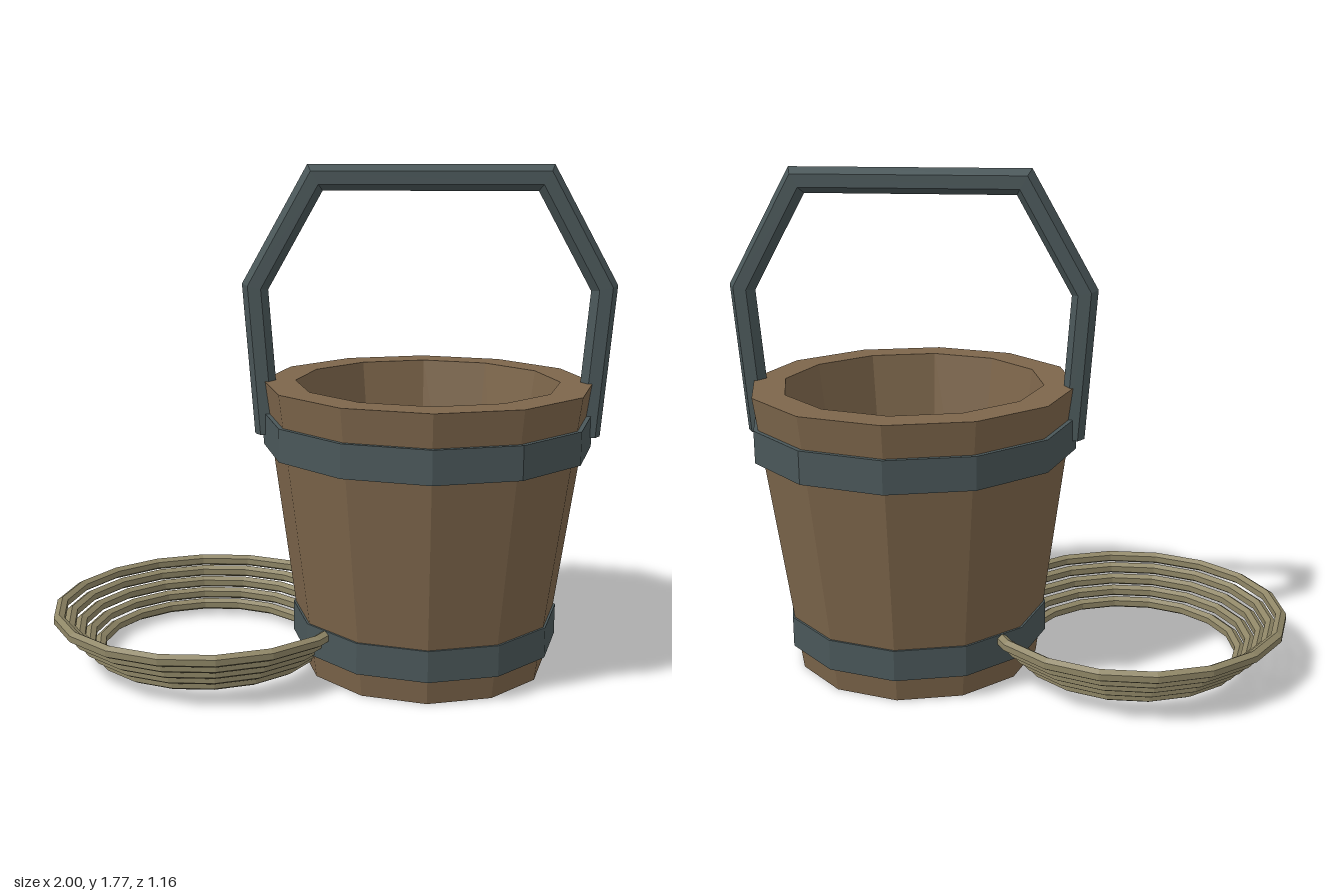
import * as THREE from 'three';

const WOOD = 0x7d664b, IRON = 0x4a5759, ROPE = 0x8f8666;
const BUCKET_X = 0.35, COIL_X = -0.44;

function part(name, geometry, color, x = 0) {
  const material = new THREE.MeshStandardMaterial({ color, flatShading: true });
  const mesh = new THREE.Mesh(geometry, material);
  mesh.name = name;
  mesh.position.x = x;
  return mesh;
}

// Turn a (radius, height) outline, listed counter-clockwise, around the y axis
function turned(outline, sides) {
  const points = outline.map(([r, y]) => new THREE.Vector2(r, y));
  return new THREE.LatheGeometry(points, sides, Math.PI / 2);
}

function hoop(inner, outer, y0, y1) {
  return turned([[inner, y0], [outer, y0], [outer, y1], [inner, y1], [inner, y0]], 12);
}

// Six-sided bar following a flat path with mitred corners
function mitredBar(path, radius) {
  const last = path.length - 1;
  const geometry = new THREE.CylinderGeometry(radius, radius, last, 6, last, false, Math.PI / 6);
  const pos = geometry.attributes.position;
  const direction = (a, b) => b.clone().sub(a).normalize();
  const miters = path.map((p, i) => {
    const before = direction(path[Math.max(i - 1, 0)], path[Math.max(i, 1)]);
    const after = direction(path[Math.min(i, last - 1)], path[Math.min(i + 1, last)]);
    const mid = before.clone().add(after).normalize();
    return new THREE.Vector2(mid.y, -mid.x).divideScalar(mid.dot(after));
  });
  for (let v = 0; v < pos.count; v++) {
    const i = Math.round(pos.getY(v) + last / 2);
    const side = pos.getX(v);
    pos.setXY(v, path[i].x + miters[i].x * side, path[i].y + miters[i].y * side);
  }
  geometry.computeVertexNormals();
  return geometry;
}

export function createModel() {
  const model = new THREE.Group();
  model.name = 'bucketWithRope';

  // Wooden bucket with a thick wall and floor
  const wall = [[0, 0], [0.44, 0], [0.58, 1.02], [0.465, 1.02], [0.33, 0.06], [0, 0.06]];
  model.add(part('bucket', turned(wall, 12), WOOD, BUCKET_X));

  // Iron hoops
  model.add(part('upperHoop', hoop(0.54, 0.58, 0.79, 0.905), IRON, BUCKET_X));
  model.add(part('lowerHoop', hoop(0.445, 0.475, 0.09, 0.2), IRON, BUCKET_X));

  // Angular handle, mirrored about the bucket's centre
  const half = [[-0.565, 0.83], [-0.605, 1.35], [-0.395, 1.725]];
  const path = [...half, ...half.map(([x, y]) => [-x, y]).reverse()]
    .map(([x, y]) => new THREE.Vector2(x, y));
  model.add(part('handle', mitredBar(path, 0.045), IRON, BUCKET_X));

  // Coil of rope, each turn wider than the one below
  const coil = new THREE.Group();
  coil.name = 'ropeCoil';
  for (let turn = 0; turn < 5; turn++) {
    const outline = [];
    for (let k = 0; k <= 6; k++) {
      const a = Math.PI / 6 + k * Math.PI / 3;
      outline.push([0.401 + 0.035 * turn + 0.022 * Math.cos(a),
        0.04 + 0.0345 * turn + 0.022 * Math.sin(a)]);
    }
    coil.add(part('ropeTurn' + (turn + 1), turned(outline, 18), ROPE, COIL_X));
  }
  model.add(coil);

  return model;
}
